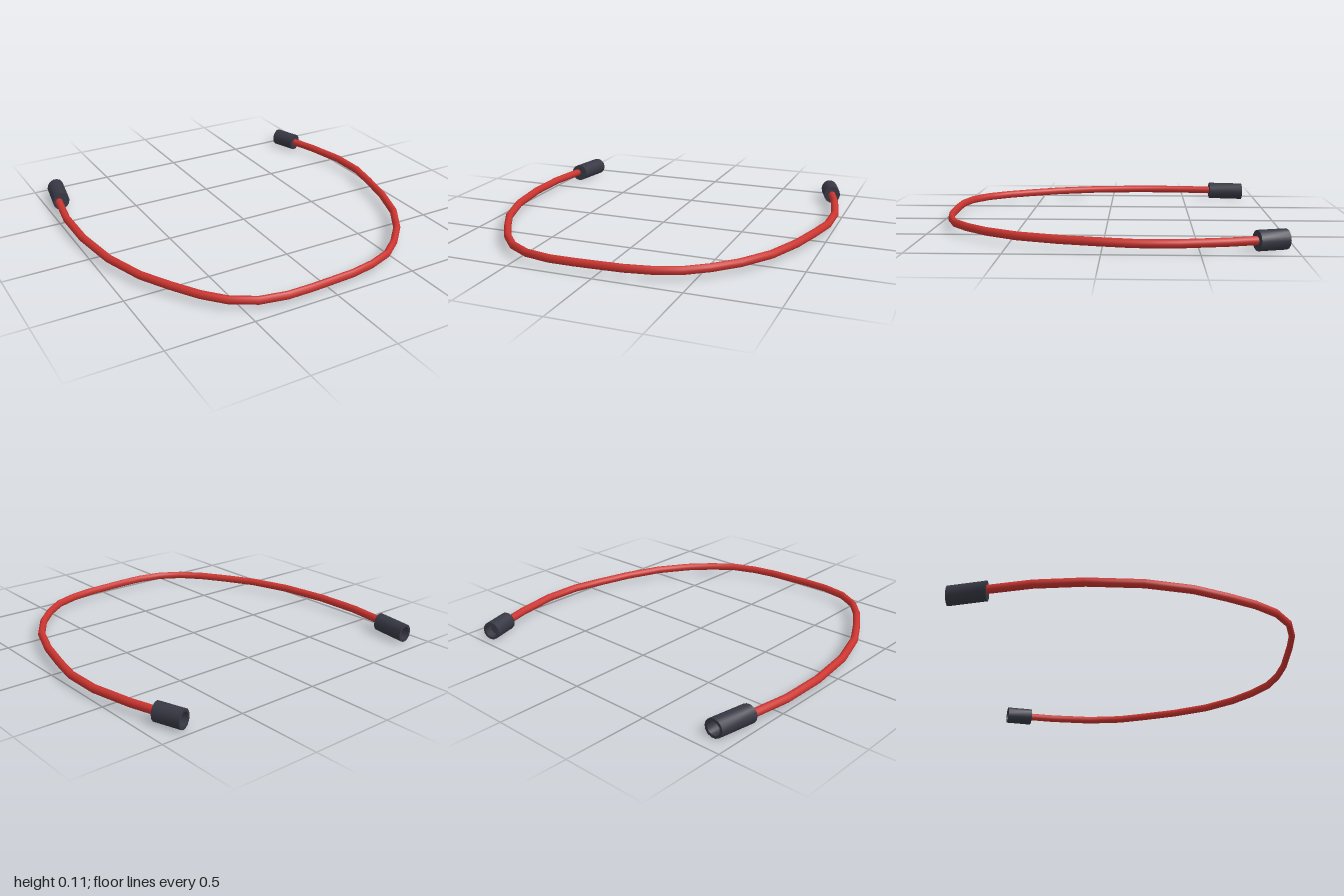
import * as THREE from 'three';
import { mergeGeometries } from 'three/addons/utils/BufferGeometryUtils.js';

const CY = 0.056; // height of the cable axis

// Skin a closed row of elliptical rings: centre (x, z), horizontal half-width vector (nx, nz), half-height h
function loft(rings, sides) {
  const pos = [], idx = [];
  rings.forEach((r, i) => {
    for (let j = 0; j < sides; j++) {
      const a = (j / sides) * Math.PI * 2, c = Math.cos(a);
      pos.push(r.x + r.nx * c, CY + r.h * Math.sin(a), r.z + r.nz * c);
      if (i === rings.length - 1) continue;
      const k = (j + 1) % sides, p = i * sides, q = p + sides;
      idx.push(p + j, p + k, q + j, p + k, q + k, q + j);
    }
  });
  const g = new THREE.BufferGeometry();
  g.setAttribute('position', new THREE.Float32BufferAttribute(pos, 3));
  g.setIndex(idx);
  g.computeVertexNormals();
  return g;
}

// Cable course on the ground, from the right-hand end round to the left-hand end (x, z)
const path = [
  [-0.925, -0.75], [-0.94, -0.68], [-0.975, -0.44], [-0.975, -0.165], [-0.935, 0.135], [-0.855, 0.385],
  [-0.76, 0.56], [-0.663, 0.716], [-0.56, 0.833], [-0.427, 0.913], [-0.272, 0.944], [-0.123, 0.944],
  [0.144, 0.93], [0.294, 0.903], [0.435, 0.852], [0.56, 0.758], [0.683, 0.63], [0.8, 0.45],
  [0.883, 0.23], [0.937, 0.016], [0.975, -0.165], [0.975, -0.385], [0.924, -0.64], [0.878, -0.79],
  [0.865, -0.83],
];

function cableGeometry() {
  const rings = path.map(([x, z], i) => {
    const a = path[Math.max(i - 1, 0)], b = path[Math.min(i + 1, path.length - 1)];
    const tx = b[0] - a[0], tz = b[1] - a[1], len = Math.hypot(tx, tz);
    // The section is slightly thinner front to back
    return { x, z, nx: (tz / len) * 0.023, nz: (-tx / len) * 0.018, h: 0.024 };
  });
  return loft(rings, 12);
}

// Hollow end sleeve: each profile step is [position along the axis, scale of the section]
function connectorGeometry(from, to, n) {
  const profile = [[0, 0], [0, 1], [1, 1], [1, 0.72], [0.7, 0.72], [0.7, 0]];
  const ring = ([t, s]) => ({
    x: from[0] + (to[0] - from[0]) * t,
    z: from[1] + (to[1] - from[1]) * t,
    nx: n[0] * s, nz: n[1] * s, h: 0.055 * s,
  });
  // Separate strips keep the rims sharp
  const strips = profile.slice(1).map((p, i) => loft([ring(profile[i]), ring(p)], 14));
  return mergeGeometries(strips);
}

export function createModel() {
  const red = new THREE.MeshStandardMaterial({ color: 0xcc3530 });
  red.name = 'cable red';
  const dark = new THREE.MeshStandardMaterial({ color: 0x383845 });
  dark.name = 'connector dark grey';

  const group = new THREE.Group();
  group.name = 'cable';
  const add = (name, geometry, material) => {
    const mesh = new THREE.Mesh(geometry, material);
    mesh.name = name;
    group.add(mesh);
  };
  add('cord', cableGeometry(), red);
  add('rightConnector', connectorGeometry([-0.924, -0.686], [-0.887, -0.909], [-0.054, 0.003]), dark);
  add('leftConnector', connectorGeometry([0.879, -0.793], [0.828, -0.948], [-0.048, 0.019]), dark);
  return group;
}
